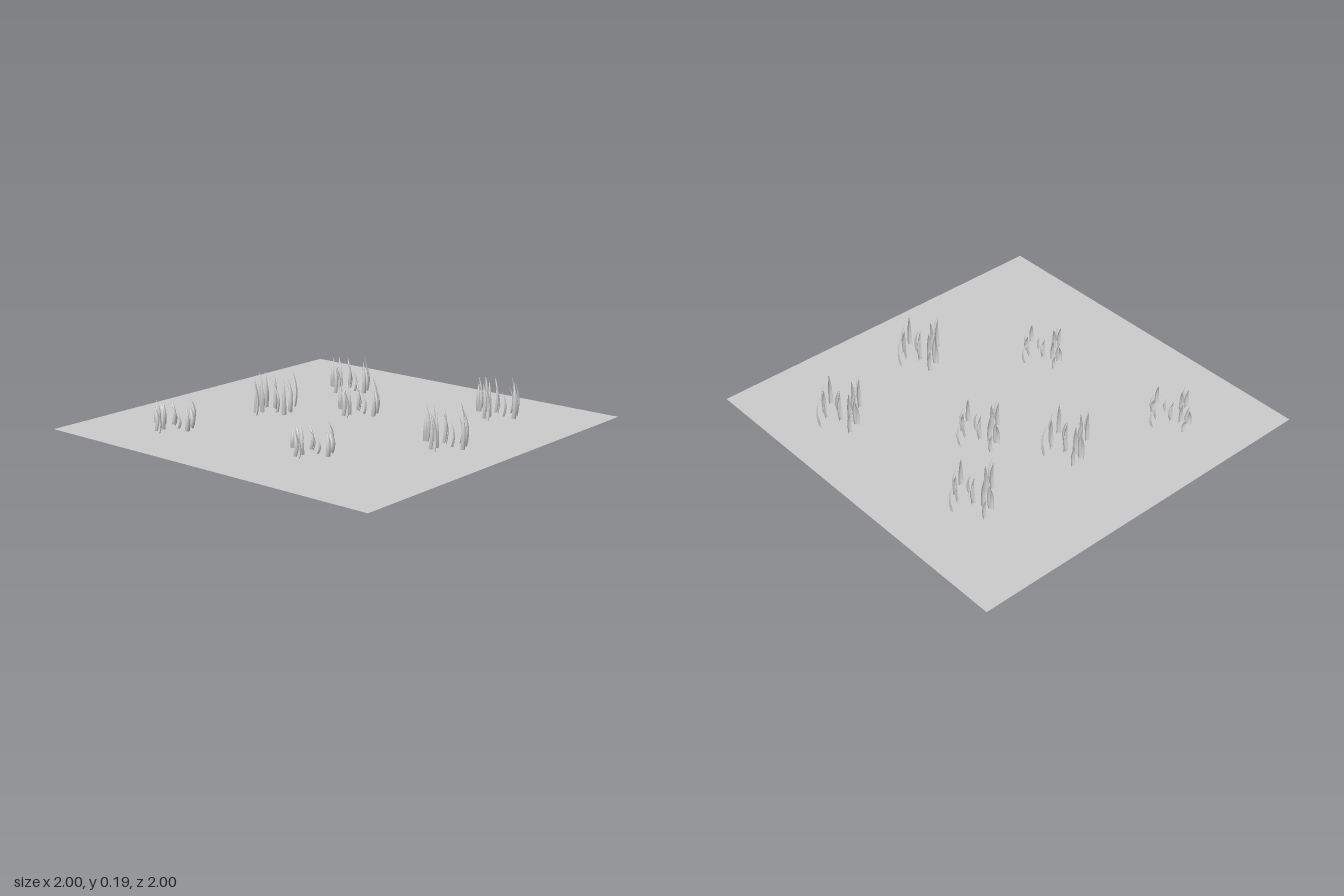
import * as THREE from 'three';

const material = new THREE.MeshStandardMaterial({ color: 0xcccccc, side: THREE.DoubleSide });

// Blades of one tuft: x, z, relative height, yaw
const BLADES = [
  [0, 0, 1, 2.6], [-0.14, 0.08, 0.7, 1.5], [0.03, 0.06, 0.75, 2.2],
  [0.075, 0.085, 0.75, 1.2], [0.085, 0.09, 0.95, 2.4],
  [-0.03, 0.105, 1, 1.4], [-0.02, 0.11, 0.8, 2.7], [-0.075, 0.13, 1, 1.1],
  [-0.105, 0.14, 1, 1.7], [-0.115, 0.145, 0.8, 0.5], [0.04, 0.14, 0.7, 2.0],
  [0.11, 0.15, 1, 1.0], [-0.015, 0.195, 0.8, 1.9], [-0.005, 0.205, 1, 0.7],
  [-0.01, 0.24, 1, 1.3], [0.025, 0.26, 0.95, 2.8],
];

// Tufts: x, z, height, yaw
const TUFTS = [
  [-0.4, -0.69, 0.17, 0], [0.51, -0.775, 0.19, 0], [-0.06, -0.355, 0.155, 0],
  [-0.39, -0.1, 0.19, -0.21], [0.64, -0.16, 0.19, 0],
  [-0.58, 0.45, 0.12, 0], [0.23, 0.335, 0.12, 0],
];

// Folded, bowed strip of unit height that narrows to a point
function bladeGeometry() {
  const geometry = new THREE.PlaneGeometry(2, 1, 4, 7);
  const p = geometry.attributes.position;
  for (let i = 0; i < p.count; i++) {
    const u = p.getX(i), t = p.getY(i) + 0.5;
    const width = 0.012 * (1 - Math.pow(t, 2.2));
    const bow = 0.012 * Math.sin(Math.PI * t) - 0.014 * t * t;
    p.setXYZ(i, u * width, t, bow + 0.8 * width * (0.5 - u * u));
  }
  geometry.computeVertexNormals();
  return geometry;
}

export function createModel() {
  const model = new THREE.Group();
  model.name = 'grassPatch';

  const ground = new THREE.Mesh(new THREE.PlaneGeometry(2, 2).rotateX(-Math.PI / 2), material);
  ground.name = 'ground';
  model.add(ground);

  const geometry = bladeGeometry();
  for (const [x, z, height, yaw] of TUFTS) {
    const tuft = new THREE.Group();
    tuft.name = 'grassTuft';
    tuft.position.set(x, 0, z);
    tuft.rotation.y = yaw;
    for (const [bx, bz, h, turn] of BLADES) {
      const blade = new THREE.Mesh(geometry, material);
      blade.name = 'grassBlade';
      blade.position.set(bx, 0, bz);
      blade.rotation.y = turn;
      blade.scale.y = height * h;
      tuft.add(blade);
    }
    model.add(tuft);
  }
  return model;
}
